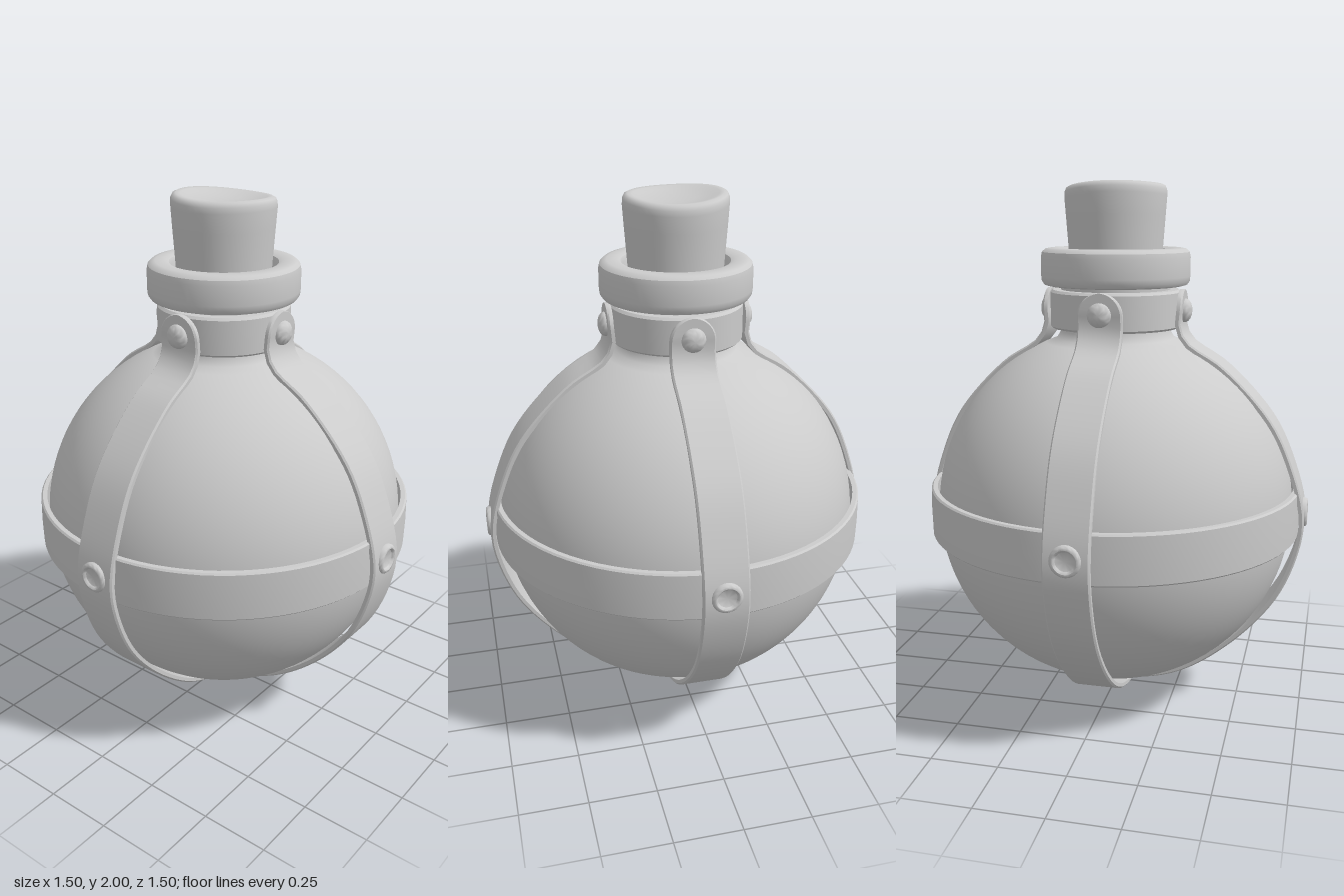
import * as THREE from 'three';
import { toCreasedNormals } from 'three/addons/utils/BufferGeometryUtils.js';

const material = new THREE.MeshStandardMaterial({ color: 0xcccccc, side: THREE.DoubleSide });
const v2 = (pts) => pts.map(([x, y]) => new THREE.Vector2(x, y));

function part(name, geometry, parent) {
  const mesh = new THREE.Mesh(geometry, material);
  mesh.name = name;
  parent.add(mesh);
  return mesh;
}

const lathe = (pts, segments = 64, crease = 0.6) =>
  toCreasedNormals(new THREE.LatheGeometry(v2(pts), segments), crease);

// Half of the strap's outer line, from the collar to the underside
const strapLine = [
  [0.266, 1.608], [0.266, 1.54], [0.262, 1.475], [0.29, 1.42], [0.425, 1.33], [0.61, 1.13],
  [0.695, 0.95], [0.739, 0.78], [0.73, 0.655], [0.65, 0.445], [0.465, 0.23], [0.25, 0.09],
];

// Leather strap with rounded ends: a bevelled section swept along the line
function strapGeometry(bottomY) {
  const half = strapLine.map(([x, y]) => new THREE.Vector3(x, y, 0));
  const other = half.map((p) => new THREE.Vector3(-p.x, p.y, 0)).reverse();
  const curve = new THREE.CatmullRomCurve3([...half, new THREE.Vector3(0, bottomY, 0), ...other]);
  curve.arcLengthDivisions = 800;
  const length = curve.getLength();
  const R = 0.083, T = 0.019, B = 0.006;

  // Samples are closer together at the rounded ends
  const stops = [];
  for (let i = 0; i <= 10; i++) stops.push(R * (1 - Math.cos((i / 10) * Math.PI / 2)));
  for (let i = 1; i < 100; i++) stops.push(R + (length - 2 * R) * i / 100);
  for (let i = 10; i >= 0; i--) stops.push(length - R * (1 - Math.cos((i / 10) * Math.PI / 2)));

  const positions = [], index = [], n = 6;
  stops.forEach((s, i) => {
    const p = curve.getPointAt(s / length);
    const t = curve.getTangentAt(s / length);
    const out = new THREE.Vector3(-t.y, t.x, 0);
    const end = Math.min(s, length - s);
    const w = end < R ? Math.max(0.002, Math.sqrt(R * R - (R - end) ** 2)) : R;
    const inner = Math.max(0.001, w - B);
    const section = [[-w, -T], [-w, -B], [-inner, 0], [inner, 0], [w, -B], [w, -T]];
    section.forEach(([z, d]) => positions.push(p.x + out.x * d, p.y + out.y * d, z));
    if (i === 0) return;
    for (let k = 0; k < n; k++) {
      const a = (i - 1) * n + k, b = (i - 1) * n + (k + 1) % n;
      index.push(a, a + n, b, b, a + n, b + n);
    }
  });
  // Close both tips
  const last = (stops.length - 1) * n;
  for (let k = 1; k < n - 1; k++) index.push(0, k, k + 1, last, last + k + 1, last + k);
  const g = new THREE.BufferGeometry();
  g.setAttribute('position', new THREE.Float32BufferAttribute(positions, 3));
  g.setIndex(index);
  return toCreasedNormals(g, 0.6);
}

// Flask: round belly, neck and hollow mouth
function flaskGeometry() {
  const pts = [];
  const r = 0.69, cy = 0.77, top = Math.asin(0.225 / r);
  for (let i = 0; i <= 44; i++) {
    const a = (Math.PI - top) * i / 44;
    pts.push([Math.sin(a) * r, cy - Math.cos(a) * r]);
  }
  pts.push([0.208, 1.45], [0.205, 1.48], [0.208, 1.66], [0.19, 1.66], [0.19, 1.5], [0, 1.5]);
  return lathe(pts, 80, 0.7);
}

// Cork: tapered, with a dished and slightly uneven top
function corkGeometry() {
  const g = new THREE.LatheGeometry(v2([
    [0, 1.51], [0.16, 1.51], [0.168, 1.62], [0.177, 1.76], [0.186, 1.88], [0.191, 1.95],
    [0.19, 1.97], [0.184, 1.983], [0.172, 1.989], [0.155, 1.987], [0.13, 1.979], [0.07, 1.97], [0, 1.968],
  ]), 48);
  const p = g.attributes.position;
  for (let i = 0; i < p.count; i++) {
    const x = p.getX(i), y = p.getY(i), z = p.getZ(i);
    const k = THREE.MathUtils.smoothstep(y, 1.85, 1.97);
    p.setY(i, y + k * (-0.025 * x + 0.03 * z + 0.15 * (x * x - z * z)));
  }
  return toCreasedNormals(g, 0.8);
}

export function createModel() {
  const group = new THREE.Group();
  group.name = 'corkedFlask';

  part('flask', flaskGeometry(), group);
  part('cork', corkGeometry(), group);

  // Thick rounded lip around the mouth
  part('lip', lathe([
    [0.19, 1.625], [0.255, 1.62], [0.27, 1.624], [0.279, 1.637], [0.281, 1.655], [0.281, 1.725],
    [0.277, 1.744], [0.265, 1.755], [0.25, 1.758], [0.215, 1.758], [0.2, 1.752], [0.192, 1.738], [0.19, 1.625],
  ]), group);

  // Collar holding the strap ends
  part('collar', lathe([
    [0.2, 1.462], [0.238, 1.462], [0.247, 1.47], [0.247, 1.596], [0.238, 1.605], [0.2, 1.605], [0.2, 1.462],
  ]), group);

  // Horizontal belt
  part('belt', lathe([
    [0.694, 0.682], [0.711, 0.682], [0.717, 0.688], [0.719, 0.775], [0.717, 0.86],
    [0.711, 0.866], [0.694, 0.866], [0.694, 0.682],
  ], 80), group);

  // Two straps crossing under the belly
  part('sideStrap', strapGeometry(0.034), group);
  part('frontBackStrap', strapGeometry(0.05), group).rotation.y = Math.PI / 2;

  // Rivets on the collar and eyelets on the belt, one per strap arm
  const rivet = lathe([[0.044, -0.012], [0.044, 0.004], [0.04, 0.012], [0.031, 0.02], [0.017, 0.025], [0, 0.027]], 24, 1);
  const eyelet = lathe([
    [0.056, -0.012], [0.055, 0.003], [0.05, 0.009], [0.042, 0.01], [0.037, 0.006], [0.034, 0.001], [0, 0.001],
  ], 28, 0.8);
  for (let i = 0; i < 4; i++) {
    const arm = new THREE.Group();
    arm.name = 'strapFittings';
    arm.rotation.y = i * Math.PI / 2;
    const r = part('collarRivet', rivet, arm);
    r.position.set(0.266, 1.53, 0);
    r.rotation.z = -Math.PI / 2;
    const e = part('beltEyelet', eyelet, arm);
    e.position.set(0.74, 0.775, 0);
    e.rotation.z = -Math.PI / 2;
    group.add(arm);
  }

  // Rivet joining the straps underneath
  const base = part('bottomRivet', rivet, group);
  base.position.y = 0.027;
  base.rotation.x = Math.PI;

  return group;
}
